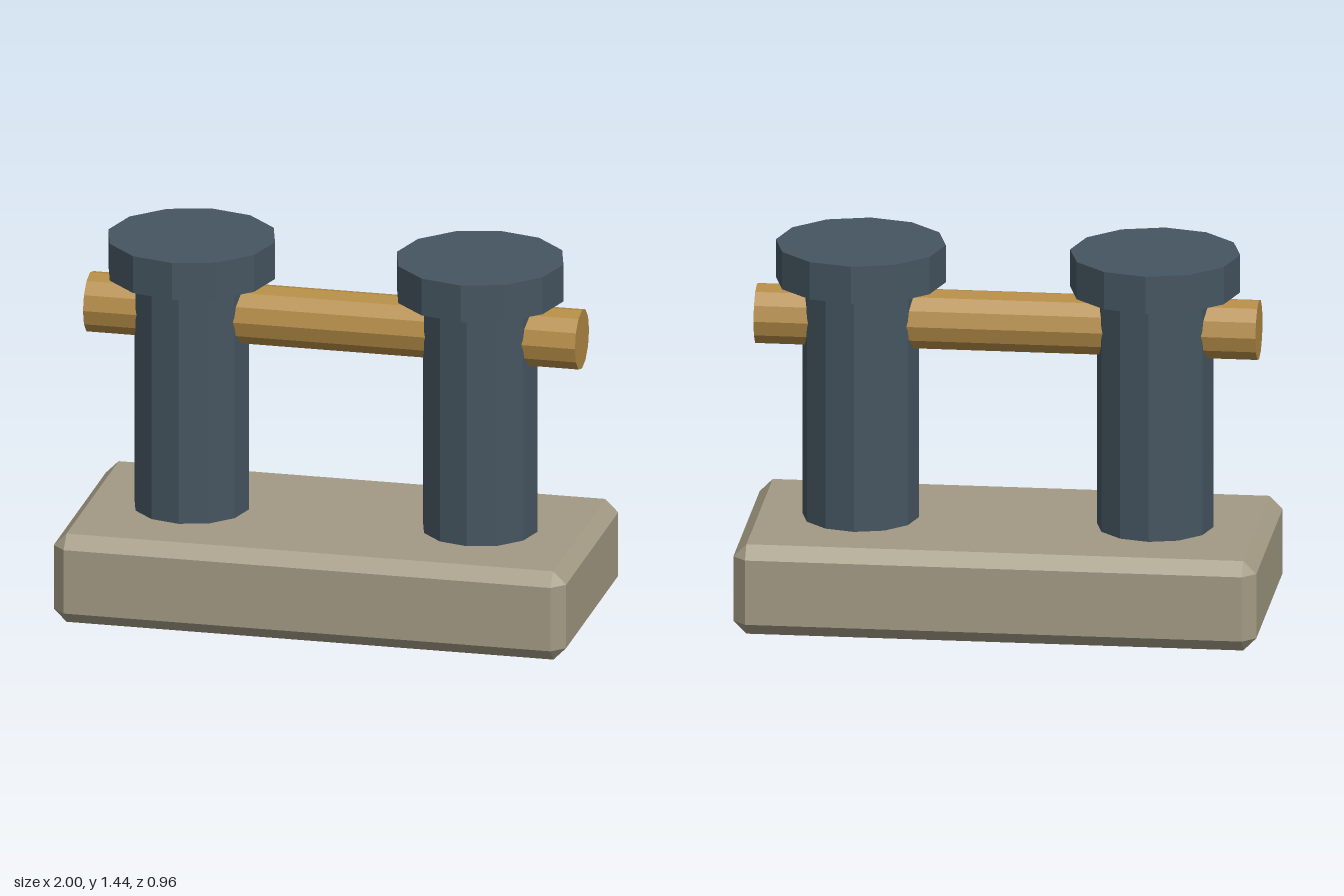
import * as THREE from 'three';
import { ConvexGeometry } from 'three/addons/geometries/ConvexGeometry.js';

// Box with every edge and corner cut flat
function chamferedBox(w, h, d, c) {
  const points = [];
  for (const sx of [-1, 1]) for (const sy of [-1, 1]) for (const sz of [-1, 1]) {
    const x = w / 2, y = h / 2, z = d / 2;
    points.push(
      new THREE.Vector3(sx * x, sy * (y - c), sz * (z - c)),
      new THREE.Vector3(sx * (x - c), sy * y, sz * (z - c)),
      new THREE.Vector3(sx * (x - c), sy * (y - c), sz * z));
  }
  return new ConvexGeometry(points);
}

export function createModel() {
  const model = new THREE.Group();
  model.name = 'mooringBollard';
  const paint = (color) => new THREE.MeshStandardMaterial({ color, flatShading: true });
  const stone = paint(0xa39a84), iron = paint(0x455560), brass = paint(0xb48c46);

  const add = (parent, name, geometry, material, x, y) => {
    const mesh = new THREE.Mesh(geometry, material);
    mesh.name = name;
    mesh.position.set(x, y, 0);
    parent.add(mesh);
    return mesh;
  };

  // Plinth
  add(model, 'base', chamferedBox(2, 0.355, 0.96, 0.05), stone, 0, 0.1775);

  // Two posts, each with a wide cap
  for (const [side, s] of [['left', 1], ['right', -1]]) {
    const bollard = new THREE.Group();
    bollard.name = side + 'Bollard';
    bollard.position.x = s * 0.563;
    add(bollard, 'post', new THREE.CylinderGeometry(0.223, 0.223, 0.985, 12), iron, 0, 0.8275);
    add(bollard, 'cap', new THREE.CylinderGeometry(0.325, 0.325, 0.148, 12), iron, 0, 1.364);
    model.add(bollard);
  }

  // Bar running through both posts
  const bar = add(model, 'crossBar', new THREE.CylinderGeometry(0.117, 0.117, 1.92, 12), brass, 0, 1.143);
  bar.rotation.z = Math.PI / 2;

  return model;
}
